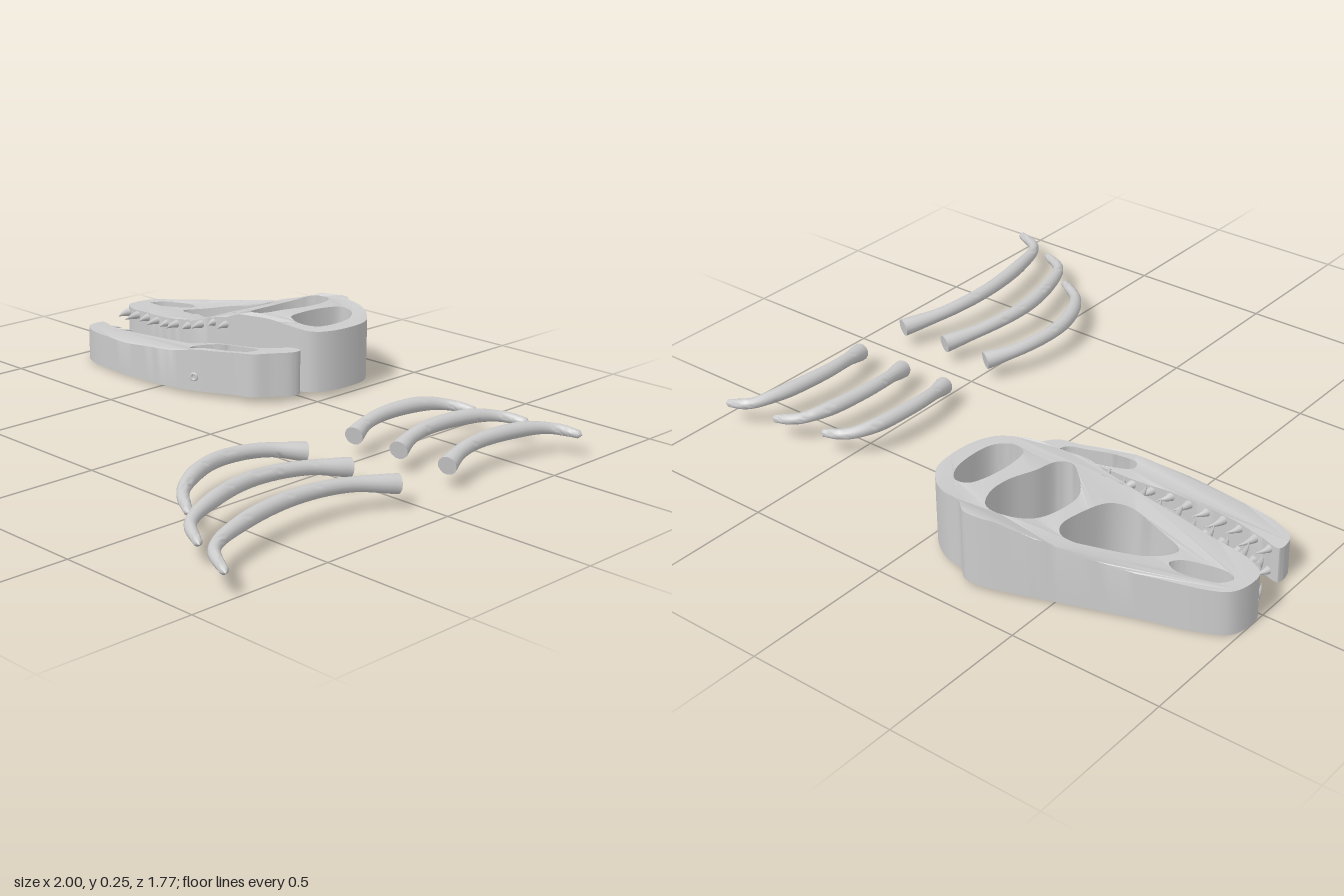
import * as THREE from 'three';
import { toCreasedNormals } from 'three/addons/utils/BufferGeometryUtils.js';

const material = new THREE.MeshStandardMaterial({ color: 0xcccccc, side: THREE.DoubleSide });

// Height profile: linear interpolation through [x, y] pairs
function profile(points) {
  return (x) => {
    for (let i = 1; i < points.length; i++) {
      const [x0, y0] = points[i - 1], [x1, y1] = points[i];
      if (x <= x1) return y0 + (y1 - y0) * THREE.MathUtils.smoothstep(x, x0, x1);
    }
    return points[points.length - 1][1];
  };
}
const skullTop = profile([[-1, 0.148], [-0.75, 0.158], [-0.6, 0.178], [-0.45, 0.215], [-0.33, 0.25], [-0.2, 0.255], [0, 0.235]]);
const jawTop = profile([[-0.96, 0.12], [-0.7, 0.125], [-0.5, 0.14], [-0.3, 0.165], [-0.06, 0.175]]);
const bottom = (x) => 0.022 * THREE.MathUtils.clamp(x + 1, 0, 1);

// Smooth closed loop from [x, z] points
function loop(points, n) {
  const curve = new THREE.CatmullRomCurve3(points.map(([x, z]) => new THREE.Vector3(x, -z, 0)), true);
  return curve.getPoints(n).slice(0, -1).map((p) => new THREE.Vector2(p.x, p.y));
}

// Upright slab with openings whose top and underside follow height profiles
function slab(name, outline, holes, top) {
  const shape = new THREE.Shape(loop(outline, 140));
  for (const h of holes) shape.holes.push(new THREE.Path(loop(h, 56)));
  const geo = new THREE.ExtrudeGeometry(shape, { depth: 1, steps: 1, bevelEnabled: false });
  geo.rotateX(-Math.PI / 2);
  const p = geo.attributes.position;
  for (let i = 0; i < p.count; i++) {
    const x = p.getX(i);
    p.setY(i, THREE.MathUtils.lerp(bottom(x), top(x), p.getY(i)));
  }
  const mesh = new THREE.Mesh(toCreasedNormals(geo, 0.6), material);
  mesh.name = name;
  return mesh;
}

// Curved tooth: a cone along z with its tip swept backwards
function tooth(length, dir) {
  const geo = new THREE.ConeGeometry(0.015, length, 10, 5);
  geo.translate(0, length / 2, 0);
  geo.rotateX(dir * Math.PI / 2);
  const p = geo.attributes.position;
  for (let i = 0; i < p.count; i++) {
    const t = p.getZ(i) / length;
    p.setX(i, p.getX(i) + 0.022 * t * t);
  }
  geo.computeVertexNormals();
  return geo;
}

// Tapered rib through [x, z] points, from flared head to thin tip
function rib(name, points) {
  const n = 48, sides = 14;
  const heights = [0.07, 0.09, 0.098, 0.095, 0.085, 0.075];
  const curve = new THREE.CatmullRomCurve3(points.map(([x, z], i) => new THREE.Vector3(x, heights[i], z)));
  const geo = new THREE.TubeGeometry(curve, n, 1, sides);
  const radius = profile([[0, 0.031], [0.18, 0.023], [0.6, 0.025], [0.88, 0.018], [1, 0.013]]);
  const p = geo.attributes.position, v = new THREE.Vector3();
  for (let i = 0; i <= n; i++) {
    const c = curve.getPointAt(i / n);
    // End rings close onto their neighbour as flat caps
    const cap = i === 0 ? curve.getPointAt(1 / n) : i === n ? curve.getPointAt(1) : null;
    for (let j = 0; j <= sides; j++) {
      const k = i * (sides + 1) + j;
      v.fromBufferAttribute(p, k).sub(c).multiplyScalar(cap ? 0 : radius(i / n)).add(cap || c);
      p.setXYZ(k, v.x, v.y, v.z);
    }
  }
  const mesh = new THREE.Mesh(toCreasedNormals(geo, 0.9), material);
  mesh.name = name;
  return mesh;
}

export function createModel() {
  const model = new THREE.Group();
  model.name = 'dinosaurBones';

  // Skull with nostril, cheek, eye and temple openings
  model.add(slab('skull', [
    [-1, -0.56], [-0.98, -0.63], [-0.92, -0.67], [-0.72, -0.74], [-0.505, -0.82], [-0.4, -0.86], [-0.31, -0.89],
    [-0.24, -0.895], [-0.2, -0.865], [-0.13, -0.85], [-0.065, -0.81], [-0.015, -0.75], [0, -0.67], [-0.01, -0.57],
    [-0.045, -0.51], [-0.13, -0.48], [-0.265, -0.47], [-0.37, -0.455], [-0.505, -0.45], [-0.64, -0.44],
    [-0.8, -0.46], [-0.93, -0.475], [-0.99, -0.51],
  ], [
    [[-0.95, -0.58], [-0.93, -0.62], [-0.87, -0.645], [-0.8, -0.655], [-0.77, -0.635], [-0.79, -0.605], [-0.85, -0.58], [-0.92, -0.565]],
    [[-0.76, -0.58], [-0.7, -0.66], [-0.585, -0.73], [-0.495, -0.77], [-0.468, -0.74], [-0.475, -0.64], [-0.505, -0.55], [-0.56, -0.513], [-0.64, -0.535], [-0.74, -0.555]],
    [[-0.425, -0.67], [-0.4, -0.775], [-0.345, -0.835], [-0.275, -0.835], [-0.24, -0.775], [-0.24, -0.695], [-0.27, -0.605], [-0.29, -0.53], [-0.325, -0.508], [-0.375, -0.535], [-0.42, -0.59]],
    [[-0.195, -0.615], [-0.185, -0.72], [-0.16, -0.775], [-0.115, -0.78], [-0.07, -0.73], [-0.055, -0.64], [-0.07, -0.56], [-0.12, -0.53], [-0.18, -0.55]],
  ], skullTop));

  // Lower jaw with one opening
  model.add(slab('lowerJaw', [
    [-0.95, -0.345], [-0.88, -0.33], [-0.77, -0.31], [-0.665, -0.305], [-0.53, -0.32], [-0.4, -0.35], [-0.29, -0.375],
    [-0.185, -0.41], [-0.13, -0.455], [-0.1, -0.48], [-0.06, -0.475], [-0.06, -0.44], [-0.105, -0.375], [-0.14, -0.33],
    [-0.21, -0.305], [-0.32, -0.255], [-0.425, -0.225], [-0.61, -0.21], [-0.77, -0.22], [-0.88, -0.24], [-0.945, -0.28],
  ], [
    [[-0.4, -0.3], [-0.345, -0.345], [-0.25, -0.38], [-0.175, -0.385], [-0.18, -0.345], [-0.24, -0.315], [-0.335, -0.28], [-0.39, -0.268]],
  ], jawTop));

  // Small raised rim on the outside of the jaw
  const rim = new THREE.Mesh(new THREE.TorusGeometry(0.011, 0.005, 8, 16), material);
  rim.name = 'jawRim';
  rim.position.set(-0.345, 0.065, -0.245);
  rim.rotation.y = 0.35;
  model.add(rim);

  // Rows of teeth along both sides of the mouth
  const upperRoot = profile([[-1, -0.475], [-0.8, -0.465], [-0.64, -0.445], [-0.4, -0.46]]);
  const lowerRoot = profile([[-0.95, -0.335], [-0.77, -0.305], [-0.665, -0.3], [-0.53, -0.315], [-0.4, -0.345]]);
  const teeth = new THREE.Group();
  teeth.name = 'teeth';
  const addTooth = (name, x, y, z, length, dir) => {
    const mesh = new THREE.Mesh(tooth(length, dir), material);
    mesh.name = name;
    mesh.position.set(x, y, z);
    teeth.add(mesh);
  };
  for (let i = 0; i < 10; i++) {
    const x = -0.955 + i * 0.061;
    const long = 0.068 + (i % 2) * 0.02 - i * 0.002;
    const upperY = Math.min(skullTop(x) - 0.018, 0.2);
    for (const y of [upperY, bottom(x) + 0.025]) addTooth('upperTooth', x, y, upperRoot(x), long, 1);
    if (i === 9) continue;
    const xl = x + 0.04;
    for (const y of [jawTop(xl) - 0.018, bottom(xl) + 0.025]) addTooth('lowerTooth', xl, y, lowerRoot(xl), long - 0.012, -1);
  }
  model.add(teeth);

  // Three short and three long ribs
  model.add(
    rib('shortRib1', [[0.475, -0.16], [0.445, -0.26], [0.435, -0.38], [0.455, -0.53], [0.5, -0.6], [0.585, -0.635]]),
    rib('shortRib2', [[0.66, -0.16], [0.632, -0.26], [0.622, -0.38], [0.645, -0.55], [0.69, -0.63], [0.77, -0.668]]),
    rib('shortRib3', [[0.853, -0.16], [0.825, -0.26], [0.813, -0.38], [0.838, -0.57], [0.88, -0.655], [0.96, -0.69]]),
    rib('longRib1', [[0.48, 0.03], [0.41, 0.16], [0.39, 0.32], [0.42, 0.445], [0.495, 0.57], [0.615, 0.658]]),
    rib('longRib2', [[0.665, 0.03], [0.602, 0.19], [0.58, 0.375], [0.617, 0.56], [0.69, 0.72], [0.805, 0.793]]),
    rib('longRib3', [[0.858, 0.03], [0.788, 0.2], [0.768, 0.4], [0.805, 0.64], [0.87, 0.8], [0.995, 0.875]]),
  );
  return model;
}
